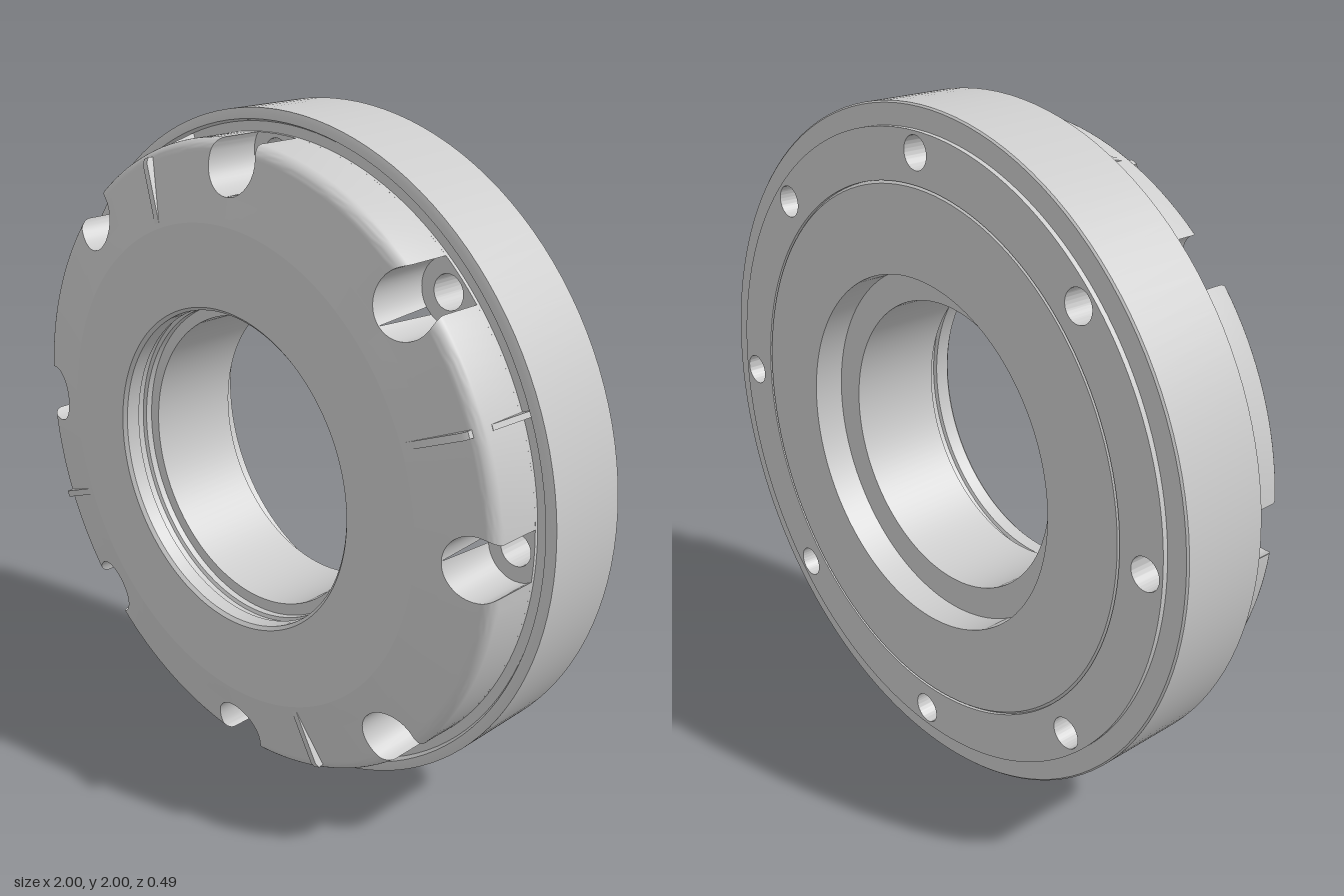
import * as THREE from 'three';
import { toCreasedNormals, mergeGeometries } from 'three/addons/utils/BufferGeometryUtils.js';

const material = new THREE.MeshStandardMaterial({ color: 0xcccccc });
const BOLT_R = 0.88, POCKET_R = 0.09, HOLE_R = 0.047, BODY_R = 0.935;
const FLOOR = 0.04, BACK = -0.245, FRONT = 0.245;

function addMesh(group, name, geometry) {
  const mesh = new THREE.Mesh(toCreasedNormals(geometry, 0.5), material);
  mesh.name = name;
  group.add(mesh);
  return mesh;
}

// Surface of revolution about z from [radius, z] pairs
function turned(points) {
  const g = new THREE.LatheGeometry(points.map(([r, z]) => new THREE.Vector2(r, z)), 128);
  return g.rotateX(Math.PI / 2);
}

// Half angle that a round pocket cuts out of the circle of radius r
function pocketAngle(r) {
  const c = (r * r + BOLT_R * BOLT_R - POCKET_R * POCKET_R) / (2 * r * BOLT_R);
  return c >= 1 ? 0 : Math.acos(c);
}

// Shoulder profile: outer wall, rounded edge, shallow cone
function shoulderProfile() {
  const p = [[BODY_R, FLOOR]];
  for (let i = 0; i <= 8; i++) {
    const a = (i / 8) * Math.PI * 0.45;
    p.push([0.895 + 0.04 * Math.cos(a), 0.162 + 0.04 * Math.sin(a)]);
  }
  const [r0, z0] = p[p.length - 1];
  const inner = BOLT_R - POCKET_R;
  const cone = r => [r, z0 + (FRONT - z0) * (r0 - r) / (r0 - 0.715)];
  for (let i = 1; i <= 12; i++) p.push(cone(inner + (r0 - inner) * (1 - i / 12) ** 2));
  p.push(cone(0.715));
  return p;
}

// One shoulder sector between two pockets, with the pocket walls at both ends
function shoulderSector(start) {
  const profile = shoulderProfile(), n = 16, cols = n + 3;
  const pos = [], index = [];
  profile.forEach(([r, z], k) => {
    const a = pocketAngle(r);
    for (let j = -1; j <= n + 1; j++) {
      const t = THREE.MathUtils.clamp(j / n, 0, 1);
      const angle = start + a + (Math.PI / 4 - 2 * a) * t;
      const wall = (j < 0 || j > n) && a > 1e-6;
      pos.push(r * Math.cos(angle), r * Math.sin(angle), wall ? FLOOR : z);
      if (k < profile.length - 1 && j <= n) {
        const i = k * cols + j + 1;
        index.push(i, i + 1, i + cols + 1, i, i + cols + 1, i + cols);
      }
    }
  });
  const g = new THREE.BufferGeometry();
  g.setAttribute('position', new THREE.Float32BufferAttribute(pos, 3));
  g.setIndex(index);
  return g;
}

// Thin radial rib from an outline in (radius, z)
function rib(outline, width) {
  const shape = new THREE.Shape(outline.map(([r, z]) => new THREE.Vector2(r, z)));
  const g = new THREE.ExtrudeGeometry(shape, { depth: width, bevelEnabled: false });
  return g.translate(0, 0, -width / 2).rotateX(Math.PI / 2);
}

export function createModel() {
  const model = new THREE.Group();
  model.name = 'bearingCover';
  const cover = new THREE.Group();
  cover.name = 'cover';
  cover.position.y = 1;
  model.add(cover);

  // Bolt ring with through holes; its front is the pocket floor
  const ring = new THREE.Shape().absarc(0, 0, BODY_R, 0, Math.PI * 2);
  ring.holes.push(new THREE.Path().absarc(0, 0, BOLT_R - POCKET_R, 0, Math.PI * 2, true));
  for (let i = 0; i < 8; i++) {
    const a = i * Math.PI / 4;
    ring.holes.push(new THREE.Path().absarc(0.877 * Math.cos(a), 0.877 * Math.sin(a), HOLE_R, 0, Math.PI * 2, true));
  }
  const ringGeo = new THREE.ExtrudeGeometry(ring, { depth: FLOOR - BACK, bevelEnabled: false, curveSegments: 96 });
  addMesh(cover, 'boltRing', ringGeo.translate(0, 0, BACK));

  // Outer rim with a shallow groove on its front
  addMesh(cover, 'outerRim', turned([
    [0.93, -0.23], [0.995, -0.23], [1, -0.225], [1, 0.04], [0.985, 0.045],
    [0.97, 0.045], [0.963, 0.03], [0.93, 0.03],
  ]));

  // Hub: front face, counterbore with groove, bore, rear counterbore, rear face
  addMesh(cover, 'hub', turned([
    [0.715, FRONT], [0.48, FRONT], [0.47, 0.235], [0.47, 0.19], [0.48, 0.185], [0.48, 0.165],
    [0.47, 0.16], [0.47, 0.14], [0.435, 0.14], [0.435, -0.15], [0.53, -0.15],
    [0.53, BACK], [0.782, BACK], [0.79, BACK + 0.01],
  ]));

  // Scalloped shoulder
  const sectors = [];
  for (let i = 0; i < 8; i++) sectors.push(shoulderSector(i * Math.PI / 4));
  addMesh(cover, 'shoulder', mergeGeometries(sectors));

  // Four pairs of marker ribs, on the cone and on the outer wall
  const faceRib = rib([[0.71, 0.2], [0.91, 0.18], [0.915, 0.215], [0.9, 0.225], [0.715, 0.243]], 0.02);
  const wallRib = rib([[0.925, 0.03], [0.963, 0.03], [0.936, 0.15], [0.925, 0.15]], 0.016);
  for (let i = 0; i < 4; i++) {
    const angle = Math.PI / 8 + i * Math.PI / 2;
    addMesh(cover, 'faceRib', faceRib).rotation.z = angle;
    addMesh(cover, 'wallRib', wallRib).rotation.z = angle;
  }
  return model;
}
